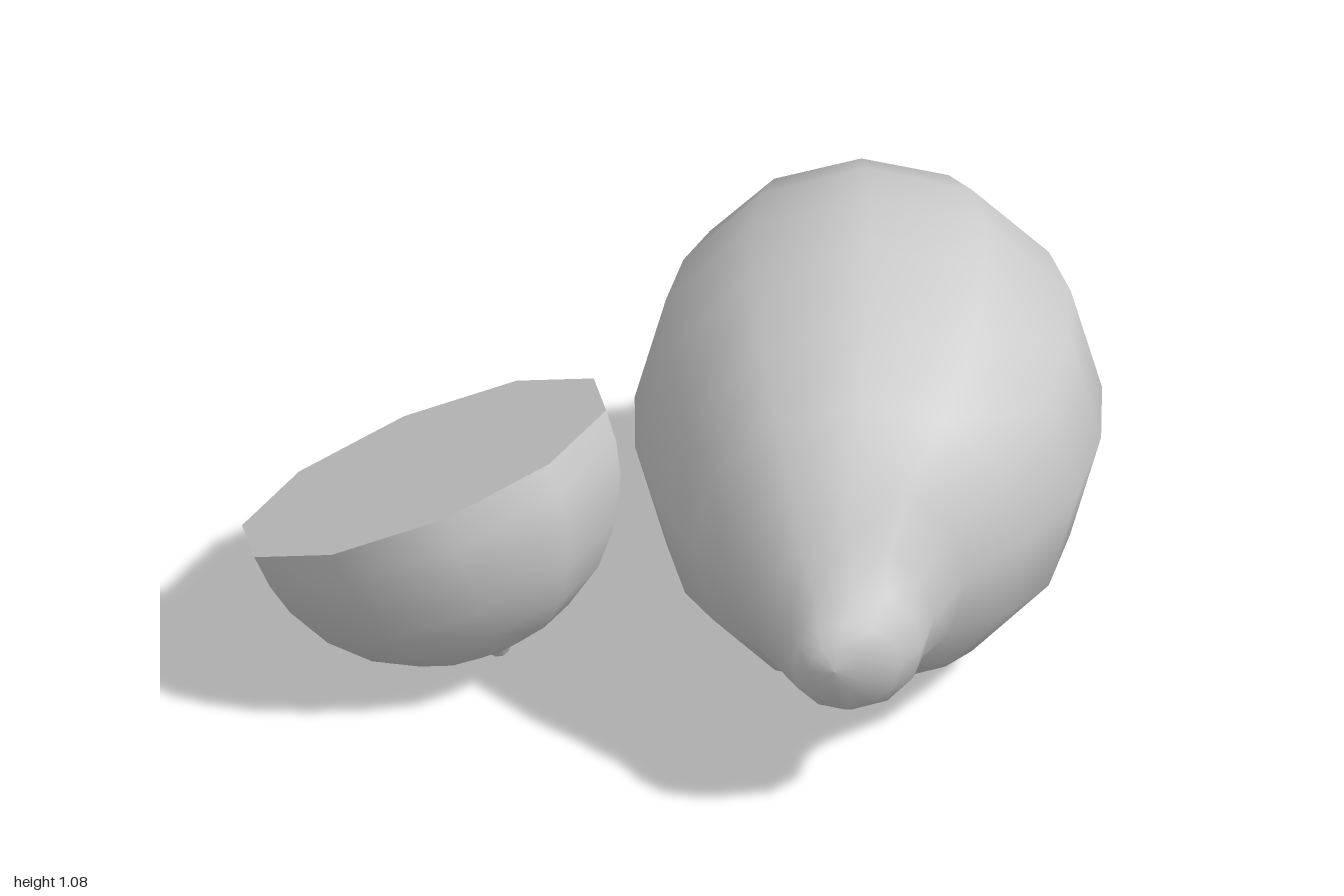
import * as THREE from 'three';

const SIDES = 12;

// Cross-sections of the whole fruit, front to back: z, left x, right x, bottom y, top y
const SECTIONS = [
  [0.826, 0.34, 0.34, 0.435, 0.435],
  [0.815, 0.28, 0.41, 0.37, 0.50],
  [0.78, 0.243, 0.495, 0.30, 0.54],
  [0.72, 0.22, 0.55, 0.26, 0.60],
  [0.65, 0.17, 0.58, 0.25, 0.68],
  [0.57, 0.11, 0.66, 0.23, 0.80],
  [0.44, 0.02, 0.81, 0.135, 0.925],
  [0.26, -0.05, 0.925, 0.045, 1.02],
  [0.03, -0.092, 0.99, 0.005, 1.085],
  [-0.18, -0.085, 1.0, 0.005, 1.085],
  [-0.38, -0.03, 0.95, 0.06, 1.035],
  [-0.55, 0.05, 0.86, 0.18, 0.95],
  [-0.67, 0.24, 0.68, 0.365, 0.755],
  [-0.735, 0.36, 0.55, 0.44, 0.64],
  [-0.78, 0.39, 0.48, 0.50, 0.595],
  [-0.824, 0.436, 0.436, 0.577, 0.577],
];

// Skin elliptical rings with smooth normals; the end sections are single points
function loft(sections) {
  const positions = [], index = [], last = sections.length - 1;
  for (const [z, x0, x1, y0, y1] of sections) {
    for (let j = 0; j < SIDES; j++) {
      const a = (j / SIDES) * Math.PI * 2;
      positions.push(
        (x0 + x1) / 2 + ((x1 - x0) / 2) * Math.cos(a),
        (y0 + y1) / 2 + ((y1 - y0) / 2) * Math.sin(a),
        z
      );
    }
  }
  for (let i = 0; i < last; i++) {
    for (let j = 0; j < SIDES; j++) {
      const k = (j + 1) % SIDES;
      const a = i * SIDES + j, b = i * SIDES + k;
      const c = a + SIDES, d = b + SIDES;
      if (i > 0) index.push(a, c, b);
      if (i < last - 1) index.push(b, c, d);
      else index.push(a, c, b);
    }
  }
  // Drop the repeated triangles of the last fan
  const seen = new Set(), clean = [];
  for (let t = 0; t < index.length; t += 3) {
    const key = index.slice(t, t + 3).join();
    if (!seen.has(key)) clean.push(...index.slice(t, t + 3));
    seen.add(key);
  }
  const g = new THREE.BufferGeometry();
  g.setAttribute('position', new THREE.Float32BufferAttribute(positions, 3));
  g.setIndex(clean);
  g.computeVertexNormals();
  return g;
}

export function createModel() {
  const model = new THREE.Group();
  const skin = new THREE.MeshStandardMaterial({ color: 0xcccccc });
  skin.name = 'pale grey';

  const add = (parent, name, geometry) => {
    const mesh = new THREE.Mesh(geometry, skin);
    mesh.name = name;
    parent.add(mesh);
  };

  // Whole lemon lying on its side, stem end to the front
  add(model, 'wholeLemon', loft(SECTIONS));

  // Half lemon: ten-sided bowl with a small nub, in its own upright frame
  const R = 0.465;
  const half = new THREE.Group();
  half.name = 'halfLemon';
  const profile = [[0, -0.492], [0.018, -0.485], [0.035, -0.463]].map(p => new THREE.Vector2(...p));
  for (const deg of [10, 25, 40, 55, 70, 80, 90]) {
    const a = THREE.MathUtils.degToRad(deg);
    profile.push(new THREE.Vector2(R * Math.sin(a), -R * Math.cos(a)));
  }
  add(half, 'halfLemonPeel', new THREE.LatheGeometry(profile, 10));
  add(half, 'cutFace', new THREE.CircleGeometry(R, 10, -Math.PI / 2).rotateX(-Math.PI / 2));

  // Tilt the cut face and turn one rim corner towards the whole lemon
  const up = new THREE.Vector3(-0.362, 0.891, -0.274).normalize();
  const corner = new THREE.Vector3(0.422, 0.189, 0.06).projectOnPlane(up).normalize();
  const side = new THREE.Vector3().crossVectors(up, corner);
  half.quaternion.setFromRotationMatrix(new THREE.Matrix4().makeBasis(side, up, corner));
  half.position.set(-0.58, 0.466, -0.02);
  model.add(half);

  return model;
}
